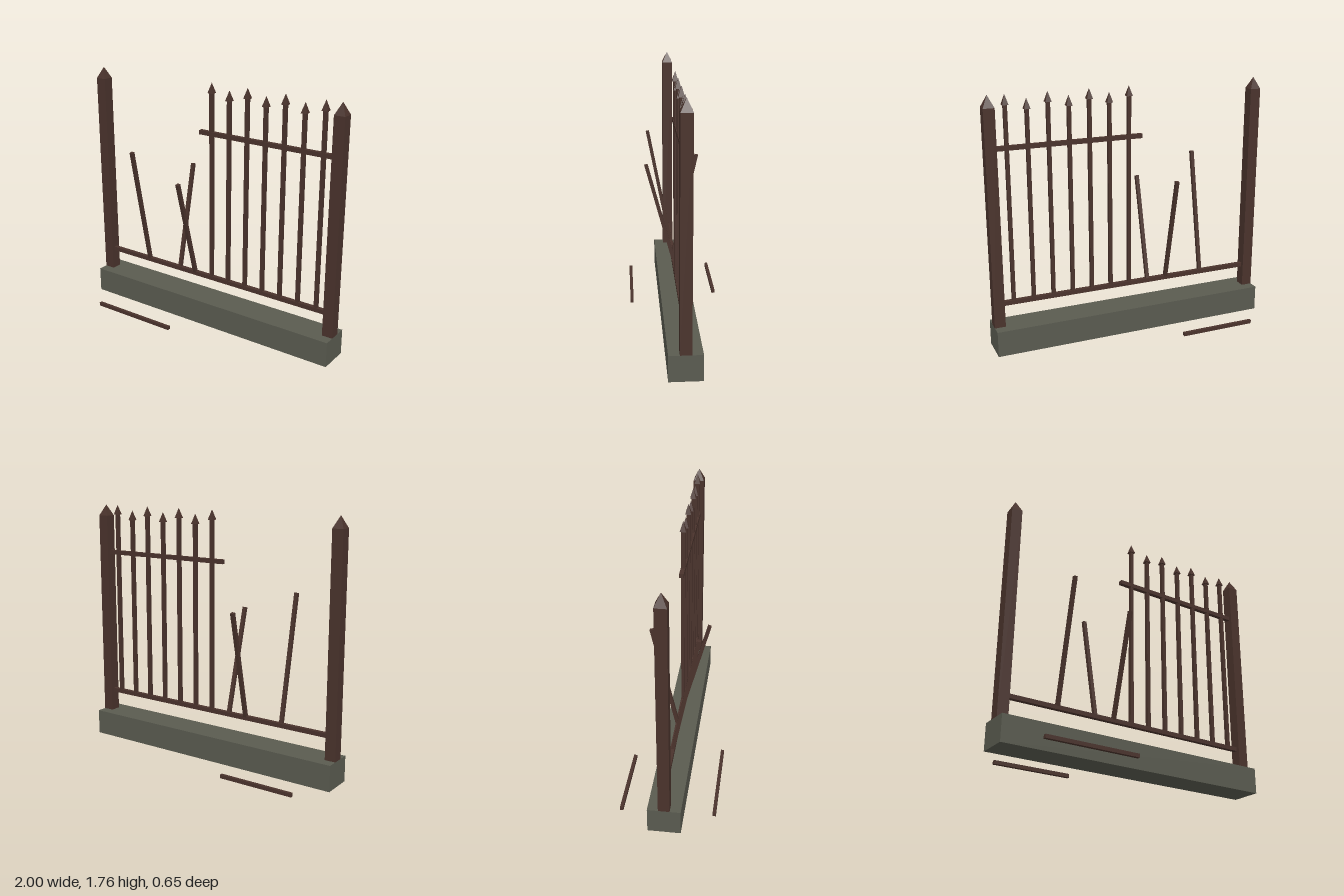
import * as THREE from 'three';

const iron = new THREE.MeshStandardMaterial({ color: 0x4a332c });
iron.name = 'rusted iron';
const stone = new THREE.MeshStandardMaterial({ color: 0x5a5b50 });
stone.name = 'stone';

export function createModel() {
  const fence = new THREE.Group();
  fence.name = 'brokenFence';

  function add(parent, name, geometry, material, x, y, z) {
    const mesh = new THREE.Mesh(geometry, material);
    mesh.name = name;
    mesh.position.set(x, y, z);
    parent.add(mesh);
    return mesh;
  }

  const box = (name, w, h, d, x, y, z, material = iron, parent = fence) =>
    add(parent, name, new THREE.BoxGeometry(w, h, d), material, x, y, z);

  // Square pyramid with sides aligned to the axes, standing on y
  function pyramid(parent, name, width, height, x, y) {
    const geometry = new THREE.ConeGeometry(width * Math.SQRT1_2, height, 4).toNonIndexed();
    geometry.rotateY(Math.PI / 4);
    geometry.computeVertexNormals();
    add(parent, name, geometry, iron, x, y + height / 2, 0);
  }

  // Stone plinth
  box('plinth', 2, 0.18, 0.22, 0, 0.09, 0, stone);

  // End posts with pointed caps
  for (const side of [-1, 1]) {
    const post = new THREE.Group();
    post.name = side < 0 ? 'rightPost' : 'leftPost';
    fence.add(post);
    box('postShaft', 0.076, 1.5, 0.076, side * 0.962, 0.93, 0, iron, post);
    pyramid(post, 'postCap', 0.076, 0.08, side * 0.962, 1.68);
  }

  // Full lower rail and snapped upper rail
  box('lowerRail', 1.86, 0.03, 0.03, 0, 0.338, 0);
  box('upperRail', 1.03, 0.03, 0.03, 0.42, 1.41, 0);

  // Standing pickets, alternating tall and short
  const bar = 0.025, foot = 0.335;
  for (let i = 0; i < 7; i++) {
    const x = i * 0.1418;
    const top = i % 2 ? 1.655 : 1.69;
    const picket = new THREE.Group();
    picket.name = 'picket';
    fence.add(picket);
    box('picketBar', bar, top - foot, bar, x, (top + foot) / 2, 0, iron, picket);
    pyramid(picket, 'spearTip', 0.042, 0.07, x, top);
  }

  // Broken pickets bent forward or back: x, top y, top z
  for (const [x, y, z] of [[-0.571, 1.22, 0.172], [-0.287, 1.105, -0.173], [-0.145, 1.073, 0.198]]) {
    const rise = y - foot;
    const bent = box('bentPicket', bar, Math.hypot(rise, z), bar, x, foot + rise / 2, z / 2);
    bent.rotation.x = Math.atan2(z, rise);
  }

  // Pieces lying on the ground
  box('fallenBarFront', 0.66, 0.025, 0.023, -0.488, 0.0125, 0.312);
  box('fallenBarBack', 0.546, 0.025, 0.023, -0.566, 0.0125, -0.312);

  return fence;
}
